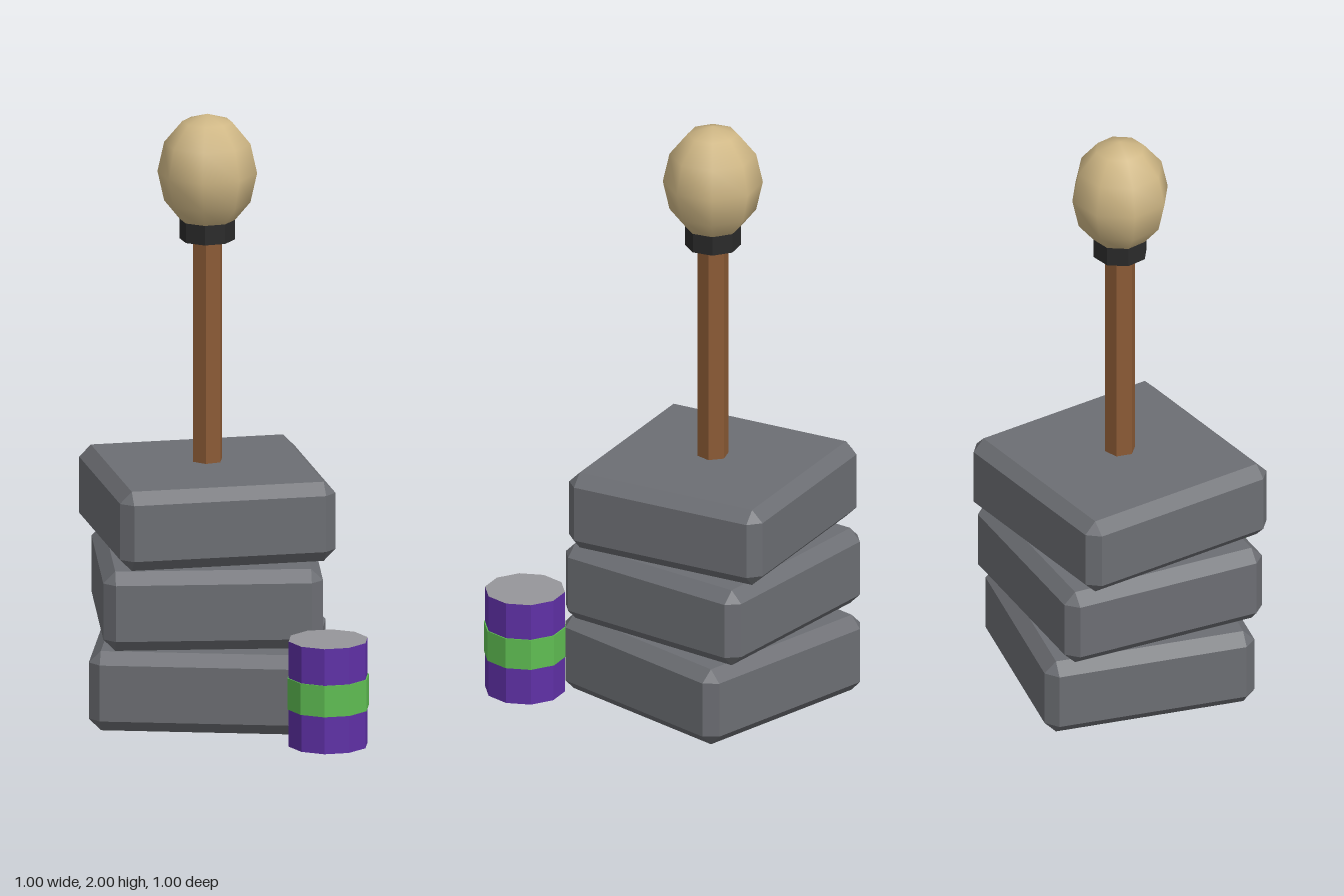
import * as THREE from 'three';
import { ConvexGeometry } from 'three/addons/geometries/ConvexGeometry.js';

function material(name, color) {
  const m = new THREE.MeshStandardMaterial({ color });
  m.name = name;
  m.flatShading = true;
  return m;
}

// Box with every edge chamfered by c
function chamferedBox(w, h, d, c) {
  const points = [];
  for (const x of [-w / 2, w / 2])
    for (const y of [-h / 2, h / 2])
      for (const z of [-d / 2, d / 2]) {
        const ix = x - Math.sign(x) * c, iy = y - Math.sign(y) * c, iz = z - Math.sign(z) * c;
        points.push(new THREE.Vector3(x, iy, iz), new THREE.Vector3(ix, y, iz), new THREE.Vector3(ix, iy, z));
      }
  return new ConvexGeometry(points);
}

export function createModel() {
  const group = new THREE.Group();
  const stone = material('stone grey', 0x6c6e73);
  const wood = material('wood brown', 0x8b5a35);
  const black = material('collar black', 0x2a2a2a);
  const tan = material('padding tan', 0xcfb785);
  tan.flatShading = false;
  const purple = material('canister purple', 0x5f30a6);
  const green = material('band green', 0x5fbd52);
  const metal = material('cap grey', 0x96969a);

  function add(name, geometry, mat, x, y, z) {
    const mesh = new THREE.Mesh(geometry, mat);
    mesh.name = name;
    mesh.position.set(x, y, z);
    group.add(mesh);
    return mesh;
  }
  const cylinder = (r, bottom, top, sides) => new THREE.CylinderGeometry(r, r, top - bottom, sides);

  // Stack of three slabs, each twisted a little further
  const cx = -0.065, cz = -0.066;
  const slab = chamferedBox(0.717, 0.266, 0.717, 0.039);
  for (let i = 0; i < 3; i++) {
    add('slab' + (i + 1), slab, stone, cx, 0.135 + i * 0.279, cz).rotation.y = i * 0.15;
  }

  // Mallet standing above the stack
  add('handle', cylinder(0.052, 0.836, 1.6, 6), wood, cx, (0.836 + 1.6) / 2, cz);
  add('collar', cylinder(0.091, 1.58, 1.655, 8), black, cx, (1.58 + 1.655) / 2, cz);
  const head = add('paddedHead', new THREE.SphereGeometry(0.163, 8, 6), tan, cx, 1.804, cz);
  head.scale.y = 0.196 / 0.163;

  // Canister beside the stack
  const px = 0.369, pz = 0.365;
  add('canister', cylinder(0.132, 0, 0.353, 10), [purple, metal, metal], px, 0.1765, pz);
  add('canisterBand', cylinder(0.136, 0.125, 0.23, 10), green, px, 0.1775, pz);

  return group;
}
